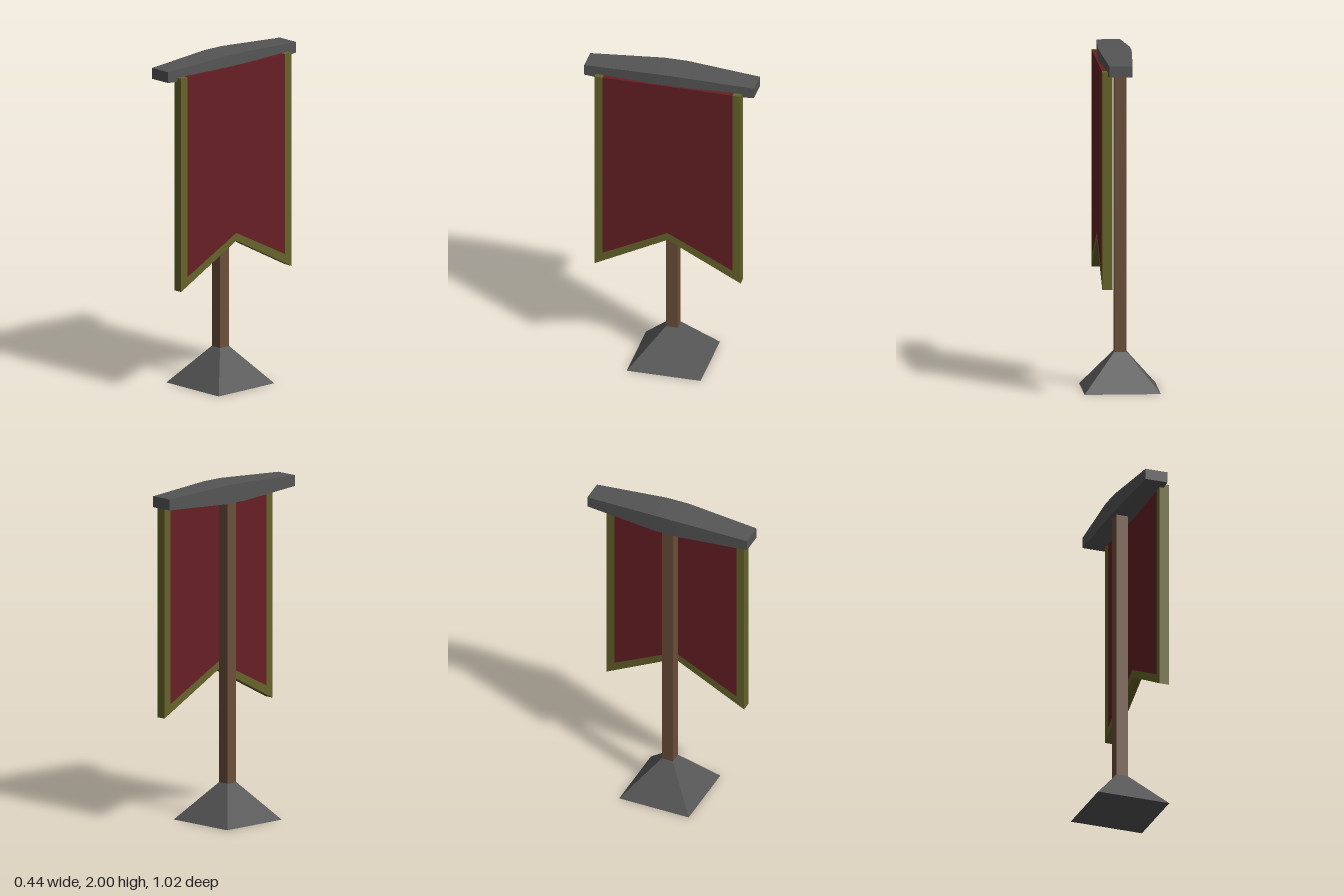
import * as THREE from 'three';

const material = (color) => new THREE.MeshStandardMaterial({ color, flatShading: true });
const stone = material(0x555555);
const wood = material(0x6b4f39);
const cloth = material(0x661f24);
const gold = material(0x66642a);

function part(name, geometry, mat) {
  const mesh = new THREE.Mesh(geometry, mat);
  mesh.name = name;
  return mesh;
}

// Extrudes an outline drawn in the z-y plane along +x
function slab(points, x, depth) {
  const shape = new THREE.Shape(points.map(([z, y]) => new THREE.Vector2(z, y)));
  return new THREE.ExtrudeGeometry(shape, { depth, bevelEnabled: false })
    .rotateY(Math.PI / 2)
    .translate(x, 0, 0);
}

// Box with four spans along z, thick in the middle and tapering to the ends
function taperedBar() {
  const geo = new THREE.BoxGeometry(1, 1, 1, 1, 1, 4);
  const p = geo.attributes.position;
  for (let i = 0; i < p.count; i++) {
    const end = Math.abs(p.getZ(i)) > 0.4;
    const mid = Math.abs(p.getZ(i)) < 0.1;
    const z = mid ? 0 : Math.sign(p.getZ(i)) * (end ? 0.51 : 0.07);
    const halfWidth = end ? 0.068 : 0.094;
    const y = p.getY(i) > 0 ? (end ? 1.977 : 2.0) : (end ? 1.912 : 1.89);
    p.setXYZ(i, 0.031 + Math.sign(p.getX(i)) * halfWidth, y, z);
  }
  geo.computeVertexNormals();
  return geo;
}

export function createModel() {
  const model = new THREE.Group();
  model.name = 'bannerStand';

  // Four-sided pyramid foot with a flat top
  const foot = new THREE.CylinderGeometry(0.036 * Math.SQRT2, 0.222 * Math.SQRT2, 0.222, 4)
    .rotateY(Math.PI / 4)
    .translate(0, 0.111, 0);
  model.add(part('foot', foot, stone));

  // Square pole
  model.add(part('pole', new THREE.BoxGeometry(0.07, 1.73, 0.07).translate(0, 1.065, 0), wood));

  // Crossbar
  model.add(part('crossbar', taperedBar(), stone));

  // Hanging cloth with a notched lower edge
  const top = 1.932;
  const inner = [[-0.39, 0.73], [0, 0.927], [0.39, 0.73]];
  const outer = [[0.44, 0.65], [0, 0.88], [-0.44, 0.65]];
  model.add(part('cloth', slab([[-0.39, top], ...inner, [0.39, top]], 0.077, 0.058), cloth));

  // Trim along both sides and the notch
  const trim = [[-0.39, top], ...inner, [0.39, top], [0.44, top], ...outer, [-0.44, top]];
  model.add(part('trim', slab(trim, 0.077, 0.058), gold));

  return model;
}
